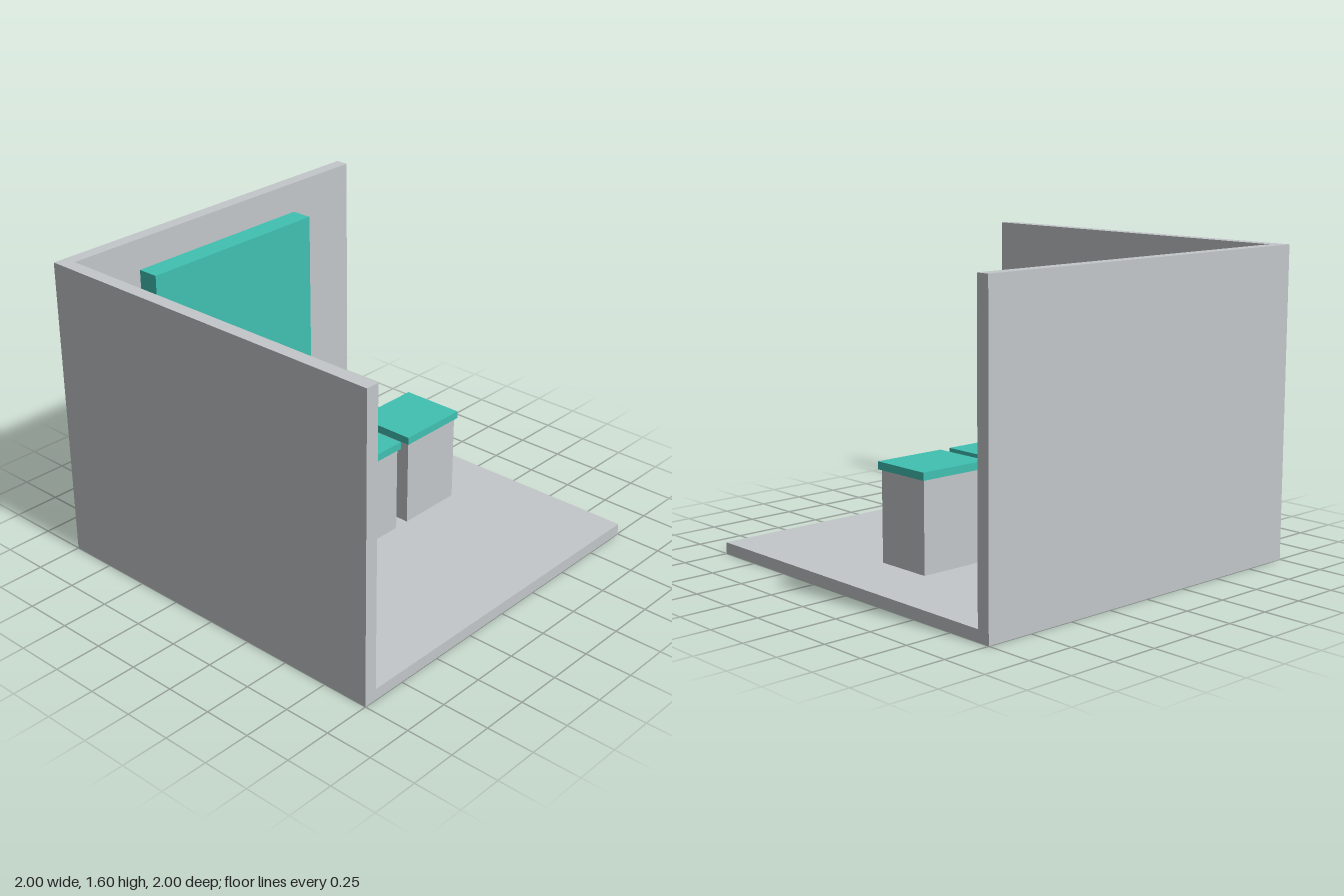
import * as THREE from 'three';

export function createModel() {
  const model = new THREE.Group();
  const grey = new THREE.MeshStandardMaterial({ color: 0xc3c7c9 });
  grey.name = 'light grey';
  const teal = new THREE.MeshStandardMaterial({ color: 0x41c1b3 });
  teal.name = 'teal';

  // Box given by its lower and upper limits on each axis
  function box(name, material, [x0, x1], [y0, y1], [z0, z1], parent = model) {
    const mesh = new THREE.Mesh(new THREE.BoxGeometry(x1 - x0, y1 - y0, z1 - z0), material);
    mesh.position.set((x0 + x1) / 2, (y0 + y1) / 2, (z0 + z1) / 2);
    mesh.name = name;
    parent.add(mesh);
    return mesh;
  }

  // Room shell: floor, back wall and one side wall
  box('floor', grey, [-1, 1], [0, 0.06], [-1, 1]);
  box('backWall', grey, [-1, 1], [0.06, 1.6], [-1, -0.93]);
  box('sideWall', grey, [-1, -0.93], [0.06, 1.6], [-0.93, 1]);

  // Display panel with the ledge beneath it
  box('displayPanel', teal, [-0.55, 0.55], [0.3, 1.45], [-0.905, -0.79]);
  box('ledge', grey, [-0.445, 0.445], [0.205, 0.3], [-0.87, -0.65]);

  // Row of three pedestals with overhanging tops
  for (const x of [-0.46, 0, 0.46]) {
    const pedestal = new THREE.Group();
    pedestal.name = 'pedestal';
    pedestal.position.x = x;
    box('pedestalBody', grey, [-0.187, 0.187], [0.06, 0.53], [-0.158, 0.158], pedestal);
    box('pedestalTop', teal, [-0.2, 0.2], [0.53, 0.57], [-0.17, 0.17], pedestal);
    model.add(pedestal);
  }

  return model;
}
